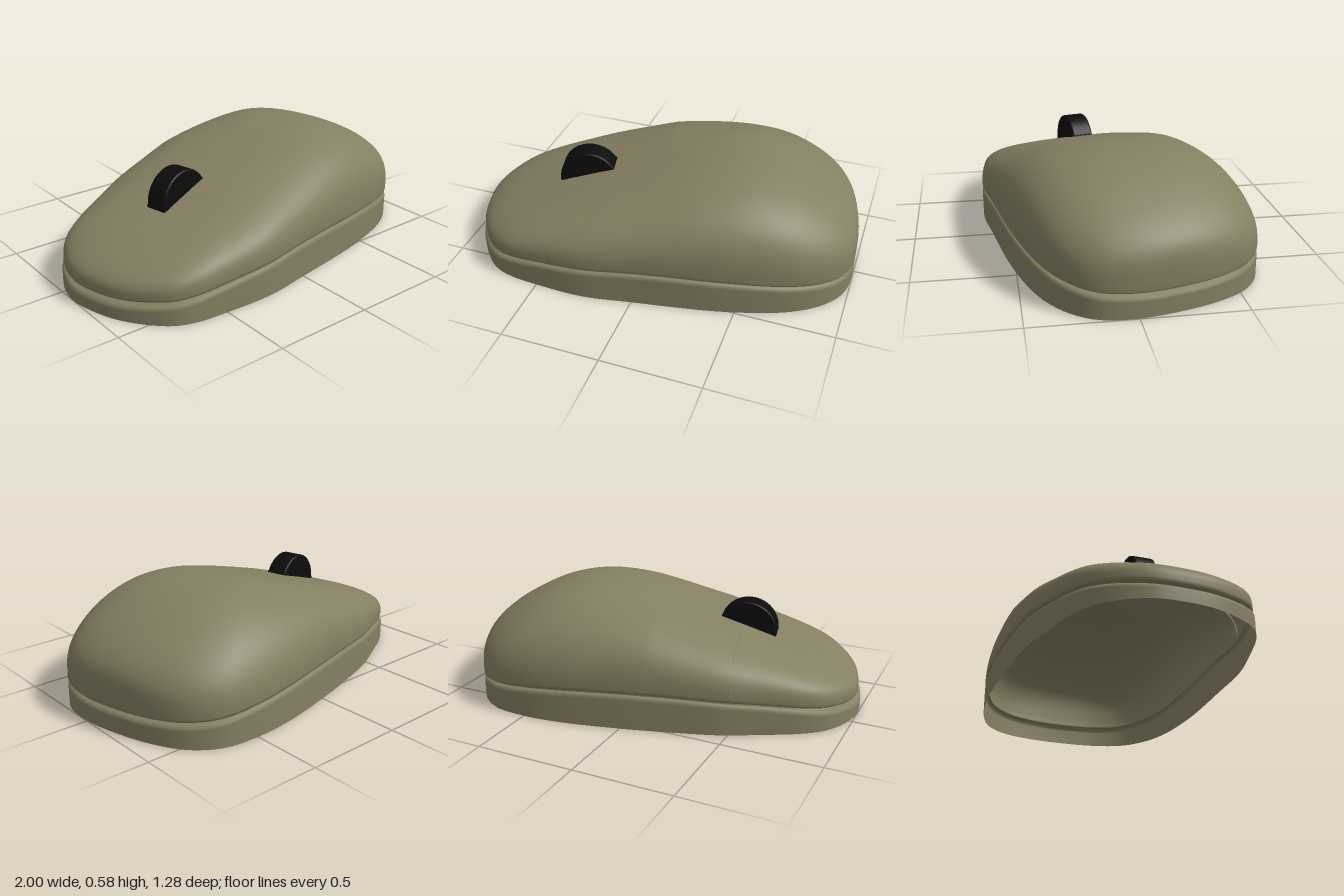
import * as THREE from 'three';

const SEGS = 180;
const CENTRE = { x: 0, z: 0.015 };
// long axis of the body, turned slightly in plan
const AX = 0.975, AZ = -0.22;
const along = (x, z) => x * AX + z * AZ;
const fromAxes = (u, v) => [u * AX - v * AZ + CENTRE.x, u * AZ + v * AX + CENTRE.z];

// plan outline (x, z)
const outline = new THREE.CatmullRomCurve3([
  [-1, 0.1], [-0.97, -0.04], [-0.9, -0.16], [-0.8, -0.24], [-0.63, -0.333], [-0.48, -0.41], [-0.3, -0.473],
  [0, -0.56], [0.3, -0.626], [0.5, -0.643], [0.68, -0.62], [0.81, -0.53], [0.9, -0.38], [0.965, -0.18],
  [0.998, 0.02], [0.98, 0.18], [0.9, 0.3], [0.75, 0.405], [0.45, 0.508], [0, 0.594], [-0.25, 0.635],
  [-0.5, 0.63], [-0.65, 0.615], [-0.75, 0.58], [-0.84, 0.5], [-0.93, 0.37], [-0.98, 0.23],
].map(([x, z]) => new THREE.Vector3(x, 0, z)), true);

const polar = outline.getPoints(600).slice(0, -1).map((p) => ({
  a: Math.atan2(p.z - CENTRE.z, p.x - CENTRE.x),
  r: Math.hypot(p.x - CENTRE.x, p.z - CENTRE.z),
})).sort((p, q) => p.a - q.a);

// outline radius in a given direction
function radius(angle) {
  const k = polar.findIndex((p) => p.a >= angle);
  if (k <= 0) return polar[0].r;
  const p = polar[k - 1], q = polar[k];
  return p.r + (q.r - p.r) * (angle - p.a) / (q.a - p.a);
}

// direction split into lengthwise and sideways shares
const lengthwise = (a) => Math.cos(a) * AX + Math.sin(a) * AZ;
const sideways = (a) => Math.sin(a) * AX - Math.cos(a) * AZ;

// the palm shell sits slightly back from the nose of the base
const domeRadius = (a) => radius(a) * (1 - 0.014 * Math.max(0, -lengthwise(a)) ** 4);

// ridge heights at even steps along the axis, from -1.2 to 1.2
const ridge = new THREE.SplineCurve(
  [0.16, 0.226, 0.285, 0.341, 0.402, 0.462, 0.52, 0.565, 0.58, 0.55, 0.478, 0.39, 0.3]
    .map((y, i) => new THREE.Vector2(i, y)));
const seamY = (u) => 0.178 - 0.086 * (u - 0.07) ** 2;

// top surface: ridge height rounded off toward the outline
function domeY(x, z, angle, rho) {
  const u = along(x, z);
  const c = lengthwise(angle);
  const rearLeft = 2 * Math.max(0, c) * Math.max(0, -sideways(angle));
  const p = 2.8 - 0.5 * rearLeft + (c < 0 ? 1.2 * c ** 4 : 2.2 * c ** 12);
  const base = seamY(u) + 0.02;
  const top = ridge.getPoint(THREE.MathUtils.clamp((u + 1.2) / 2.4, 0, 1)).y;
  return base + (top - base) * Math.pow(Math.max(0, 1 - Math.pow(rho, p)), 1 / p);
}

// shell point at (x, z) as height and distance share from centre to rim
function surface(x, z) {
  const dx = x - CENTRE.x, dz = z - CENTRE.z;
  const angle = Math.atan2(dz, dx);
  const rho = Math.hypot(dx, dz) / domeRadius(angle);
  return { rho, y: domeY(x, z, angle, Math.min(rho, 1)) };
}

// closed loops, each a radius rule plus a height rule
function loft(rings) {
  const pos = [], index = [];
  for (const ring of rings) {
    for (let i = 0; i < SEGS; i++) {
      const a = -Math.PI + (i + 0.5) / SEGS * Math.PI * 2;
      const r = ring.r(a);
      const x = CENTRE.x + Math.cos(a) * r, z = CENTRE.z + Math.sin(a) * r;
      pos.push(x, ring.y(x, z, a), z);
    }
  }
  for (let k = 0; k < rings.length - 1; k++) {
    for (let i = 0; i < SEGS; i++) {
      const j = (i + 1) % SEGS;
      const a = k * SEGS + i, b = k * SEGS + j, c = a + SEGS, d = b + SEGS;
      index.push(a, c, b, b, c, d);
    }
  }
  const g = new THREE.BufferGeometry();
  g.setAttribute('position', new THREE.Float32BufferAttribute(pos, 3));
  g.setIndex(index);
  g.computeVertexNormals();
  return g;
}

export function createModel() {
  const model = new THREE.Group();
  const olive = new THREE.MeshStandardMaterial({ color: 0x857f62, side: THREE.DoubleSide });
  olive.name = 'olive shell';
  const black = new THREE.MeshStandardMaterial({ color: 0x0c0c0d });
  black.name = 'black rubber';
  const add = (parent, name, geometry, material) => {
    const mesh = new THREE.Mesh(geometry, material);
    mesh.name = name;
    parent.add(mesh);
  };
  const atSeam = (rule, scale, dy) => ({ r: (a) => rule(a) * scale, y: (x, z) => seamY(along(x, z)) + dy });

  // base wall, open underneath, with a rounded upper lip
  add(model, 'baseSkirt', loft([
    { r: radius, y: () => 0 }, atSeam(radius, 1, -0.028), atSeam(radius, 0.997, -0.016),
    atSeam(radius, 0.987, -0.008), atSeam(radius, 0.968, -0.005),
  ]), olive);
  add(model, 'seamGroove', loft([atSeam(radius, 0.968, -0.005), atSeam(domeRadius, 0.968, 0.004)]), olive);

  // palm shell
  const rings = [atSeam(domeRadius, 0.968, 0.004), atSeam(domeRadius, 0.987, 0.006), atSeam(domeRadius, 0.996, 0.012)];
  for (let k = 0; k <= 44; k++) {
    const rho = 1 - (k / 44) ** 3;
    rings.push({ r: (a) => domeRadius(a) * rho, y: (x, z, a) => domeY(x, z, a, rho) });
  }
  add(model, 'palmShell', loft(rings), olive);

  // fine button seams, raised on the inside of the shell
  const seam = (name, points) => {
    const path = points.map(([x, z]) => {
      const { rho, y } = surface(x, z);
      const s = 1 - 0.009 * rho ** 8;
      return new THREE.Vector3(CENTRE.x + (x - CENTRE.x) * s, y - 0.0065, CENTRE.z + (z - CENTRE.z) * s);
    });
    add(model, name, new THREE.TubeGeometry(new THREE.CatmullRomCurve3(path), 120, 0.007, 8), olive);
  };
  // walk outward from the axis or centre until the rim is reached
  const reach = (at) => {
    let d = 0;
    while (surface(...at(d + 0.0005)).rho < 0.9995) d += 0.0005;
    return d;
  };
  const steps = [...Array(41).keys()].map((i) => i / 40);
  const nose = reach((d) => fromAxes(-d, 0));
  seam('buttonSplitSeam', steps.map((t) => fromAxes(-nose + (nose - 0.5) * t * t, 0)));
  const left = reach((d) => fromAxes(-0.4, -d)), right = reach((d) => fromAxes(-0.4, d));
  seam('buttonRearSeam', steps.map((t) =>
    fromAxes(-0.4, (right - left) / 2 - (right + left) / 2 * Math.cos(t * Math.PI))));

  // scroll wheel: disc cap above the shell, hollow collar through it
  const wheel = new THREE.Group();
  wheel.name = 'scrollWheel';
  const [wx, wz] = fromAxes(-0.422, 0);
  wheel.position.set(wx, surface(wx, wz).y, wz);
  wheel.rotation.set(0, Math.atan2(-AZ, AX), 0.28, 'YZX');
  model.add(wheel);

  const cap = new THREE.Shape();
  cap.absarc(0, -0.026, 0.15, 0.22, Math.PI - 0.22, false);
  cap.closePath();
  const disc = new THREE.ExtrudeGeometry(cap, {
    depth: 0.092, bevelThickness: 0.01, bevelSize: 0.01, bevelOffset: -0.01, bevelSegments: 3, curveSegments: 36,
  });
  disc.translate(0, 0, -0.046);
  add(wheel, 'wheelTread', disc, black);

  const rect = (P, w, h) => {
    const p = new P();
    p.moveTo(-w, -h);
    p.lineTo(w, -h);
    p.lineTo(w, h);
    p.lineTo(-w, h);
    p.closePath();
    return p;
  };
  const frame = rect(THREE.Shape, 0.147, 0.055);
  frame.holes.push(rect(THREE.Path, 0.115, 0.035));
  const collar = new THREE.ExtrudeGeometry(frame, { depth: 0.035, bevelEnabled: false });
  collar.rotateX(-Math.PI / 2).translate(0, -0.025, 0);
  add(wheel, 'wheelCollar', collar, black);

  return model;
}
